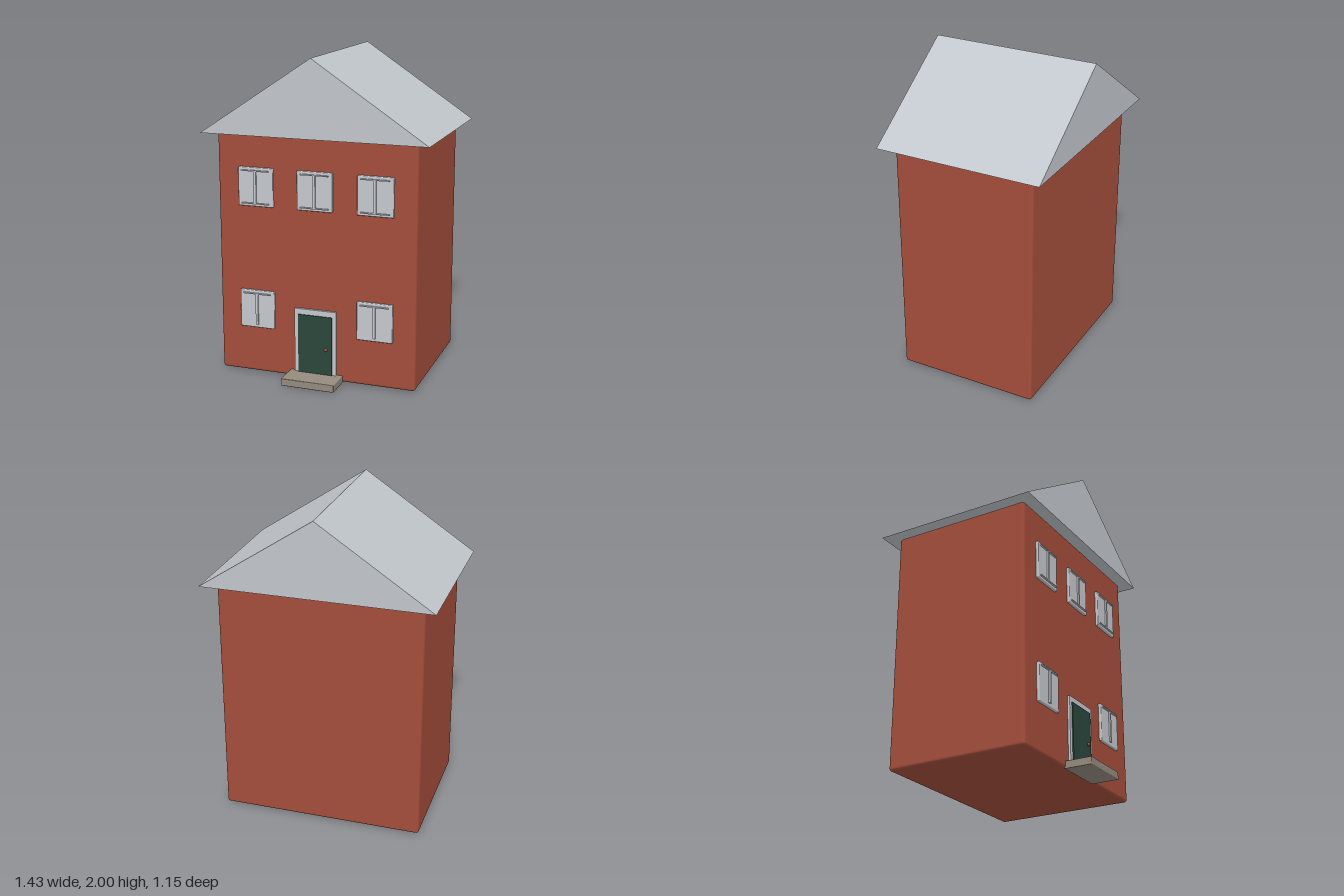
import * as THREE from 'three';
import { RoundedBoxGeometry } from 'three/addons/geometries/RoundedBoxGeometry.js';

const material = (name, color) => {
  const m = new THREE.MeshStandardMaterial({ color });
  m.name = name;
  return m;
};

export function createModel() {
  const house = new THREE.Group();
  house.name = 'house';
  const brick = material('brick red', 0xa44e3b);
  const slate = material('pale grey roof', 0xc2c7cd);
  const trim = material('light grey trim', 0xc5c8cd);
  const green = material('dark green door', 0x2b473c);
  const stone = material('stone', 0x958b7e);

  // Box given by its limits, with an optional edge radius
  function box(name, mat, [x0, x1], [y0, y1], [z0, z1], radius = 0, parent = house) {
    const size = [x1 - x0, y1 - y0, z1 - z0];
    const geometry = radius
      ? new RoundedBoxGeometry(...size, 3, radius)
      : new THREE.BoxGeometry(...size);
    const mesh = new THREE.Mesh(geometry, mat);
    mesh.name = name;
    mesh.position.set((x0 + x1) / 2, (y0 + y1) / 2, (z0 + z1) / 2);
    parent.add(mesh);
    return mesh;
  }

  // Brick body
  box('walls', brick, [-0.635, 0.632], [0.005, 1.53], [-0.495, 0.41], 0.018);

  // Gable roof, overhanging all round
  const gable = new THREE.Shape([
    new THREE.Vector2(-0.715, 1.525),
    new THREE.Vector2(0.715, 1.525),
    new THREE.Vector2(0, 2),
  ]);
  const roof = new THREE.Mesh(
    new THREE.ExtrudeGeometry(gable, { depth: 1.06, bevelEnabled: false }), slate);
  roof.name = 'roof';
  roof.position.z = -0.575;
  house.add(roof);

  // Windows: raised panel, central mullion and thin rails
  function addWindow(x, y, lowerRail) {
    const group = new THREE.Group();
    group.name = 'window';
    group.position.set(x, y, 0);
    house.add(group);
    box('windowPanel', trim, [-0.113, 0.113], [-0.121, 0.121], [0.4, 0.427], 0.006, group);
    box('mullion', trim, [-0.008, 0.008], [-0.1, 0.1], [0.42, 0.437], 0, group);
    box('topRail', trim, [-0.09, 0.09], [0.098, 0.105], [0.42, 0.437], 0, group);
    if (lowerRail) box('bottomRail', trim, [-0.09, 0.09], [-0.105, -0.098], [0.42, 0.437], 0, group);
  }
  for (const x of [-0.384, -0.003, 0.378]) addWindow(x, 1.2, true);
  for (const x of [-0.384, 0.378]) addWindow(x, 0.422, false);

  // Entrance
  box('doorFrame', trim, [-0.137, 0.133], [0.03, 0.457], [0.4, 0.425]);
  box('door', green, [-0.112, 0.108], [0.04, 0.422], [0.405, 0.432]);
  const knob = new THREE.Mesh(new THREE.SphereGeometry(0.011, 16, 12), brick);
  knob.name = 'doorKnob';
  knob.position.set(0.07, 0.213, 0.436);
  house.add(knob);
  box('doorstep', stone, [-0.172, 0.17], [0, 0.047], [0.4, 0.575], 0.005);

  return house;
}
